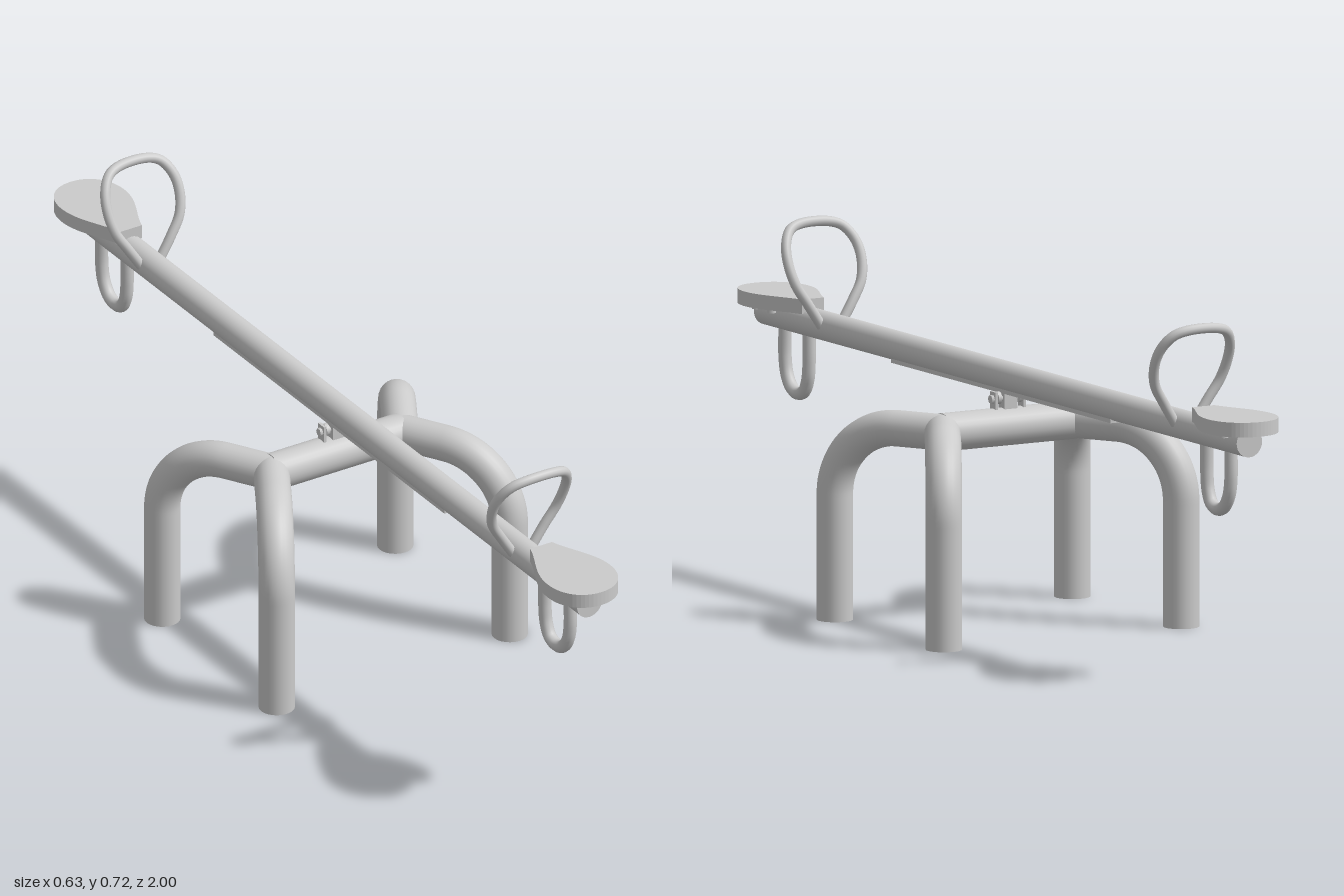
import * as THREE from 'three';

const material = new THREE.MeshStandardMaterial({ color: 0xcccccc, side: THREE.DoubleSide });

function add(parent, name, geometry, x = 0, y = 0, z = 0) {
  const mesh = new THREE.Mesh(geometry, material);
  mesh.name = name;
  mesh.position.set(x, y, z);
  parent.add(mesh);
  return mesh;
}

const vec = (p) => new THREE.Vector3(...p);

function smoothTube(points, radius, segments = 48) {
  const curve = new THREE.CatmullRomCurve3(points.map(vec), false, 'centripetal');
  return new THREE.TubeGeometry(curve, segments, radius, 12);
}

// Teardrop seat outline, drawn as x across and y along the beam
function seatOutline(inset = 0) {
  const w = 0.075 - inset, n = 0.026 - inset, z0 = 0.772 + inset, z1 = 1 - inset;
  const s = new THREE.Shape();
  s.moveTo(-n, z0);
  s.lineTo(n, z0);
  s.bezierCurveTo(n + 0.014, 0.82, w, 0.86, w, 0.915);
  s.bezierCurveTo(w, 0.965, w * 0.6, z1, 0, z1);
  s.bezierCurveTo(-w * 0.6, z1, -w, 0.965, -w, 0.915);
  s.bezierCurveTo(-w, 0.86, -n - 0.014, 0.82, -n, z0);
  return s;
}

// Extrudes an outline downward from height top
function slab(shape, top, depth) {
  const g = new THREE.ExtrudeGeometry(shape, { depth, bevelEnabled: false, curveSegments: 14 });
  return g.rotateX(Math.PI / 2).translate(0, top, 0);
}

function createLeg() {
  const leg = new THREE.Group();
  const r = 0.037, top = 0.404, bend = 0.145, reach = 0.249;
  const path = new THREE.CurvePath();
  const a = vec([0, top, 0]), b = vec([reach - bend, top, 0]);
  const c = vec([reach, top - bend, 0]), d = vec([reach, 0, 0]);
  const k = bend * 0.5523;
  path.add(new THREE.LineCurve3(a, b));
  path.add(new THREE.CubicBezierCurve3(b, vec([b.x + k, top, 0]), vec([reach, c.y + k, 0]), c));
  path.add(new THREE.LineCurve3(c, d));
  add(leg, 'legTube', new THREE.TubeGeometry(path, 56, r, 24));
  add(leg, 'legFootCap', new THREE.CircleGeometry(r, 24).rotateX(Math.PI / 2), reach, 0, 0);
  add(leg, 'legInnerCap', new THREE.CircleGeometry(r, 24).rotateY(-Math.PI / 2), 0, top, 0);
  return leg;
}

// Seat, handle and foot loop at one end of the beam
function createRiderEnd() {
  const end = new THREE.Group();
  add(end, 'seatTop', slab(seatOutline(), 0.555, 0.012));
  const rim = seatOutline();
  rim.holes.push(seatOutline(0.008));
  add(end, 'seatRim', slab(rim, 0.543, 0.018));

  // Seat mounts and bolts
  for (const z of [0.865, 0.925]) {
    add(end, 'seatBracket', new THREE.BoxGeometry(0.09, 0.012, 0.022), 0, 0.534, z);
    for (const x of [-0.042, 0.042])
      add(end, 'seatBolt', new THREE.CylinderGeometry(0.009, 0.009, 0.028, 10), x, 0.53, z);
  }

  // Handle leans toward the rider as it rises
  const side = [
    [0.022, 0.51, 0.7], [0.052, 0.556, 0.703], [0.077, 0.597, 0.71],
    [0.086, 0.64, 0.725], [0.081, 0.675, 0.742], [0.062, 0.702, 0.759], [0.033, 0.712, 0.767],
  ];
  const mirrored = side.map(([x, y, z]) => [-x, y, z]).reverse();
  add(end, 'handle', smoothTube([...side, ...mirrored], 0.0105, 72));

  // Foot loop under the beam
  add(end, 'footLoop', smoothTube([
    [0, 0.49, 0.882], [0, 0.42, 0.882], [0, 0.385, 0.874], [0, 0.36, 0.855], [0, 0.352, 0.83],
    [0, 0.36, 0.806], [0, 0.385, 0.792], [0, 0.42, 0.787], [0, 0.49, 0.787],
  ], 0.0135));
  return end;
}

export function createModel() {
  const model = new THREE.Group();
  model.name = 'seesaw';

  // Base frame with four splayed bent legs
  const base = new THREE.Group();
  base.name = 'base';
  model.add(base);
  add(base, 'crossbar', new THREE.CylinderGeometry(0.039, 0.039, 0.31, 28).rotateZ(Math.PI / 2), 0, 0.404, 0);
  for (const sx of [-1, 1]) for (const sz of [-1, 1]) {
    const leg = createLeg();
    leg.name = 'leg';
    leg.position.x = sx * 0.155;
    leg.rotation.y = Math.atan2(-sz * 0.866, sx * 0.5);
    base.add(leg);
  }

  // Beam and its lower stiffener
  add(model, 'beam', new THREE.CylinderGeometry(0.03, 0.03, 1.91, 28).rotateX(Math.PI / 2), 0, 0.506, 0);
  add(model, 'beamStiffener', new THREE.BoxGeometry(0.034, 0.018, 0.87), 0, 0.482, 0);

  // Pivot bracket on the crossbar
  const pivot = new THREE.Group();
  pivot.name = 'pivot';
  model.add(pivot);
  const across = (r, l, n) => new THREE.CylinderGeometry(r, r, l, n).rotateZ(Math.PI / 2);
  add(pivot, 'pivotBlock', new THREE.BoxGeometry(0.03, 0.045, 0.024), 0, 0.458, 0);
  add(pivot, 'pivotPin', across(0.006, 0.08, 12), 0, 0.462, 0);
  for (const s of [-1, 1]) {
    add(pivot, 'pivotLug', new THREE.BoxGeometry(0.006, 0.042, 0.022), s * 0.033, 0.456, 0);
    add(pivot, 'pivotLugEye', across(0.013, 0.008, 16), s * 0.025, 0.464, 0);
    add(pivot, 'pivotNut', across(0.009, 0.006, 6), s * 0.039, 0.462, 0);
  }

  // Matching rider ends
  for (const [name, turn] of [['frontEnd', 0], ['backEnd', Math.PI]]) {
    const end = createRiderEnd();
    end.name = name;
    end.rotation.y = turn;
    model.add(end);
  }
  return model;
}
